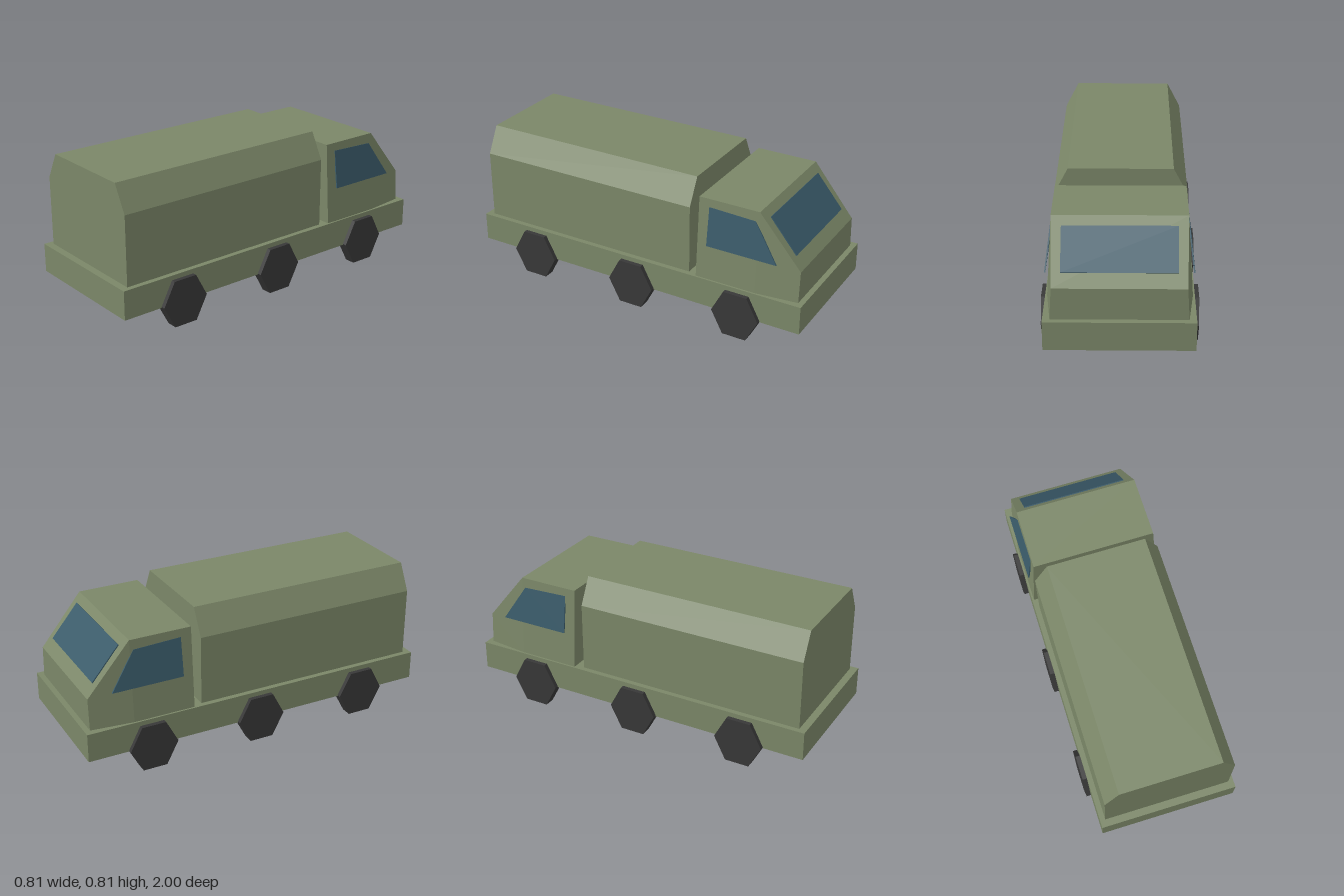
import * as THREE from 'three';

const mat = (color) => new THREE.MeshStandardMaterial({ color, flatShading: true });

// Closed solid lofted through rings of equal point count (each ring counter-clockwise
// when seen from the side the loft advances towards).
function loft(rings) {
  const n = rings[0].length;
  const index = [];
  for (let r = 0; r < rings.length - 1; r++) {
    for (let i = 0; i < n; i++) {
      const a = r * n + i, b = r * n + (i + 1) % n;
      index.push(a, b, b + n, a, b + n, a + n);
    }
  }
  const last = (rings.length - 1) * n;
  for (let i = 1; i < n - 1; i++) {
    index.push(0, i + 1, i, last, last + i, last + i + 1);
  }
  const geo = new THREE.BufferGeometry();
  geo.setAttribute('position', new THREE.Float32BufferAttribute(rings.flat(2), 3));
  geo.setIndex(index);
  const flat = geo.toNonIndexed();
  flat.computeVertexNormals();
  return flat;
}

export function createModel() {
  const truck = new THREE.Group();
  truck.name = 'truck';
  const paint = mat(0x7b8768), glass = mat(0x3a5b6a), rubber = mat(0x383838);
  const add = (name, geo, material) => {
    const mesh = new THREE.Mesh(geo, material);
    mesh.name = name;
    truck.add(mesh);
    return mesh;
  };

  // Chassis slab
  add('chassis', new THREE.BoxGeometry(0.764, 0.16, 2), paint).position.y = 0.203;

  // Cargo body with chamfered roof edges
  const cargo = new THREE.Shape([
    [-0.353, 0.283], [0.353, 0.283], [0.353, 0.667],
    [0.277, 0.813], [-0.277, 0.813], [-0.353, 0.667],
  ].map(([x, y]) => new THREE.Vector2(x, y)));
  add('cargoBody', new THREE.ExtrudeGeometry(cargo, { depth: 1.3, bevelEnabled: false }), paint)
    .position.z = -0.34;

  // Cab: tapered sections from the nose (-z) to the rear wall
  const section = (z, top, wBottom, wTop) => [
    [-wBottom, 0.283, z], [wBottom, 0.283, z], [wTop, top, z], [-wTop, top, z],
  ];
  add('cab', loft([
    section(-0.97, 0.457, 0.345, 0.334),
    section(-0.735, 0.74, 0.372, 0.342),
    section(-0.39, 0.74, 0.372, 0.342),
  ]), paint);

  // Windshield, a thin pane lying on the sloped front
  const slope = Math.atan2(0.283, 0.235);
  const shield = add('windshield', new THREE.BoxGeometry(0.58, 0.008, 0.236), glass);
  shield.position.set(0, 0.609, -0.846);
  shield.rotation.x = -slope;

  // Side windows, leaning inward towards the roof
  const outline = [[-0.45, 0.48], [-0.85, 0.48], [-0.715, 0.685], [-0.45, 0.695]];
  for (const side of [1, -1]) {
    const ring = (inset) => outline.map(([z, y]) =>
      [side * (0.374 - (y - 0.48) * 0.13 - inset), y, z]);
    const rings = side > 0 ? [ring(0.007), ring(0)] : [ring(0), ring(0.007)];
    add(side > 0 ? 'leftWindow' : 'rightWindow', loft(rings), glass);
  }

  // Six hexagonal wheels, points facing fore and aft
  const wheelGeo = new THREE.CylinderGeometry(0.136, 0.136, 0.061, 6);
  wheelGeo.rotateZ(Math.PI / 2);
  wheelGeo.scale(1, 0.1285 / (0.136 * Math.cos(Math.PI / 6)), 1);
  for (const z of [-0.64, 0, 0.64]) {
    for (const side of [1, -1]) {
      add('wheel', wheelGeo, rubber).position.set(side * 0.376, 0.1285, z);
    }
  }
  return truck;
}
